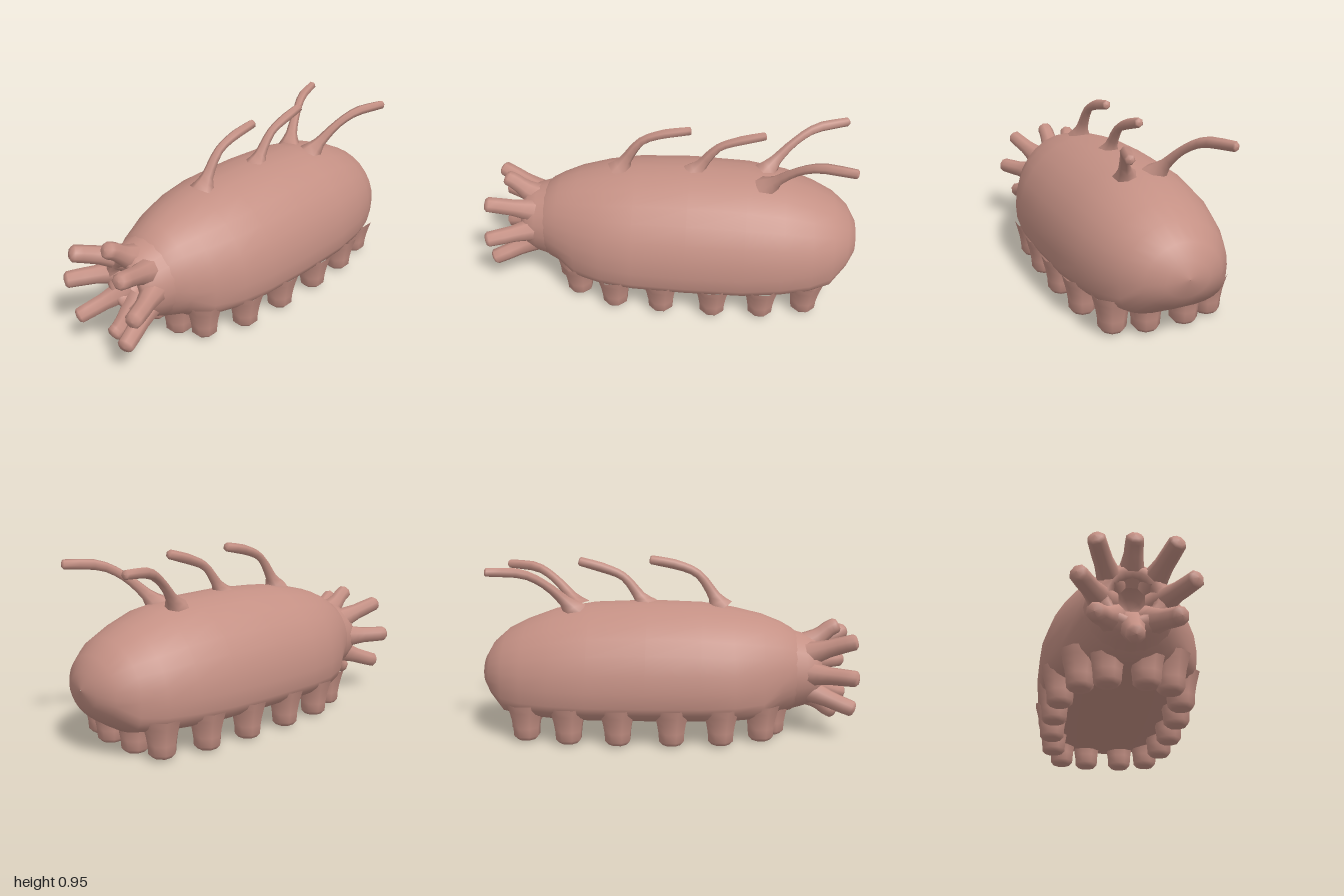
import * as THREE from 'three';

const skin = new THREE.MeshStandardMaterial({ color: 0xc49084 });
skin.name = 'dusty pink skin';

// Smooth skin over a list of rings, each ring an array of Vector3
function loft(rings) {
  const n = rings[0].length, pos = [], idx = [];
  rings.forEach(r => r.forEach(p => pos.push(p.x, p.y, p.z)));
  for (let i = 0; i < rings.length - 1; i++) {
    for (let j = 0; j < n; j++) {
      const k = (j + 1) % n, a = i * n + j, b = i * n + k;
      idx.push(a, b, a + n, b, b + n, a + n);
    }
  }
  const g = new THREE.BufferGeometry();
  g.setAttribute('position', new THREE.Float32BufferAttribute(pos, 3));
  g.setIndex(idx);
  g.computeVertexNormals();
  return g;
}

// Tapered limb along a curve, closed by a blunt tip
function limb(points, radii, sides, steps) {
  const curve = new THREE.CatmullRomCurve3(points.map(p => new THREE.Vector3(...p)));
  const frames = curve.computeFrenetFrames(steps, false);
  const ring = (c, r, i) => Array.from({ length: sides }, (_, j) => {
    const a = (j + 0.5) / sides * Math.PI * 2;
    return c.clone().addScaledVector(frames.normals[i], r * Math.cos(a))
      .addScaledVector(frames.binormals[i], r * Math.sin(a));
  });
  const rings = [];
  for (let i = 0; i <= steps; i++) {
    const f = i / steps * (radii.length - 1);
    const k = Math.min(Math.floor(f), radii.length - 2);
    rings.push(ring(curve.getPoint(i / steps), THREE.MathUtils.lerp(radii[k], radii[k + 1], f - k), i));
  }
  const end = curve.getPoint(1), r = radii[radii.length - 1];
  const t = frames.tangents[steps];
  rings.push(ring(end.clone().addScaledVector(t, r * 0.3), r * 0.72, steps));
  rings.push(ring(end.clone().addScaledVector(t, r * 0.42), 0.0005, steps));
  return loft(rings);
}

export function createModel() {
  const model = new THREE.Group();
  const add = (name, geometry, parent = model) => {
    const m = new THREE.Mesh(geometry, skin);
    m.name = name;
    parent.add(m);
    return m;
  };
  const group = name => {
    const g = new THREE.Group();
    g.name = name;
    model.add(g);
    return g;
  };

  // Body sections: z, half width, top, widest height, bottom
  const sections = [
    [-1, 0.002, 0.332, 0.33, 0.328], [-0.985, 0.11, 0.41, 0.32, 0.24],
    [-0.94, 0.2, 0.485, 0.31, 0.18], [-0.86, 0.275, 0.555, 0.3, 0.125],
    [-0.75, 0.33, 0.61, 0.29, 0.11], [-0.6, 0.375, 0.665, 0.29, 0.105],
    [-0.4, 0.405, 0.698, 0.29, 0.1], [-0.1, 0.41, 0.71, 0.29, 0.1],
    [0.18, 0.4, 0.7, 0.29, 0.1], [0.35, 0.37, 0.675, 0.29, 0.1],
    [0.5, 0.31, 0.64, 0.3, 0.1], [0.6, 0.25, 0.6, 0.32, 0.105],
    [0.66, 0.22, 0.565, 0.34, 0.12], [0.71, 0.18, 0.52, 0.34, 0.16],
  ];
  const around = 28;
  add('body', loft(sections.map(([z, w, top, mid, low], s) =>
    Array.from({ length: around }, (_, j) => {
      const a = j / around * Math.PI * 2, c = Math.cos(a), sn = Math.sin(a);
      // the belly is squarer than the back, except at the two ends
      const e = sn < 0 && s > 2 && s < 11 ? 0.6 : 1;
      const x = Math.sign(c) * Math.pow(Math.abs(c), e) * w;
      const y = sn >= 0 ? mid + sn * (top - mid) : mid - Math.pow(-sn, e) * (mid - low);
      return new THREE.Vector3(x, y, z);
    }))));

  // Neck, lip and hollow mouth turned as one piece
  const profile = [
    [0.235, 0.61], [0.212, 0.67], [0.195, 0.73], [0.175, 0.78], [0.145, 0.81],
    [0.115, 0.815], [0.097, 0.79], [0.085, 0.72], [0.055, 0.66], [0.0005, 0.64],
  ].map(p => new THREE.Vector2(...p));
  const mouth = add('neckAndMouth', new THREE.LatheGeometry(profile, 20));
  mouth.rotation.x = Math.PI / 2;
  mouth.position.y = 0.34;

  // Crown of eight feeding tentacles
  const crown = group('tentacleCrown');
  for (let i = 0; i < 8; i++) {
    const a = i / 8 * Math.PI * 2, c = Math.cos(a), s = Math.sin(a);
    const upright = Math.abs(c) < 0.1;
    const tipZ = upright ? 0.895 : 0.965;
    const path = [[0.12, 0.72], [0.165, 0.8], [0.215, (0.8 + tipZ) / 2 + 0.01], [upright ? 0.235 : 0.25, tipZ]];
    add('tentacle', limb(path.map(([r, z]) => [r * c, 0.345 + r * s, z]),
      [0.075, 0.058, 0.046, 0.044, 0.042], 8, 6), crown);
  }

  // Curved feelers on the back: two in the middle, then a splayed pair
  const feelers = group('backFeelers');
  const feelerRadii = [0.07, 0.034, 0.026, 0.023, 0.024, 0.027, 0.024];
  const feeler = path => add('feeler', limb(path, feelerRadii, 6, 10), feelers);
  feeler([[0, 0.67, 0.28], [0, 0.75, 0.235], [0, 0.85, 0.16], [0, 0.895, 0.06], [0, 0.925, -0.09]]);
  feeler([[0, 0.675, -0.12], [0, 0.745, -0.165], [0, 0.835, -0.24], [0, 0.875, -0.33], [0, 0.915, -0.47]]);
  for (const s of [1, -1]) {
    feeler([[s * 0.075, 0.65, -0.49], [s * 0.11, 0.73, -0.555], [s * 0.15, 0.81, -0.64],
      [s * 0.195, 0.865, -0.74], [s * 0.255, 0.88, -0.91]]);
  }

  // Stubby tube feet around the edge of the belly
  const feet = group('tubeFeet');
  const spots = [
    [0.09, 0.555], [0.21, 0.49], [0.295, 0.28], [0.315, 0.03],
    [0.32, -0.245], [0.305, -0.5], [0.25, -0.73], [0.1, -0.775],
  ];
  for (const [x, z] of spots) {
    for (const s of [1, -1]) {
      add('tubeFoot', limb([[s * x, 0.2, z], [s * x, 0.12, z], [s * x, 0.03, z]],
        [0.1, 0.085, 0.072, 0.068], 8, 4), feet);
    }
  }
  return model;
}
